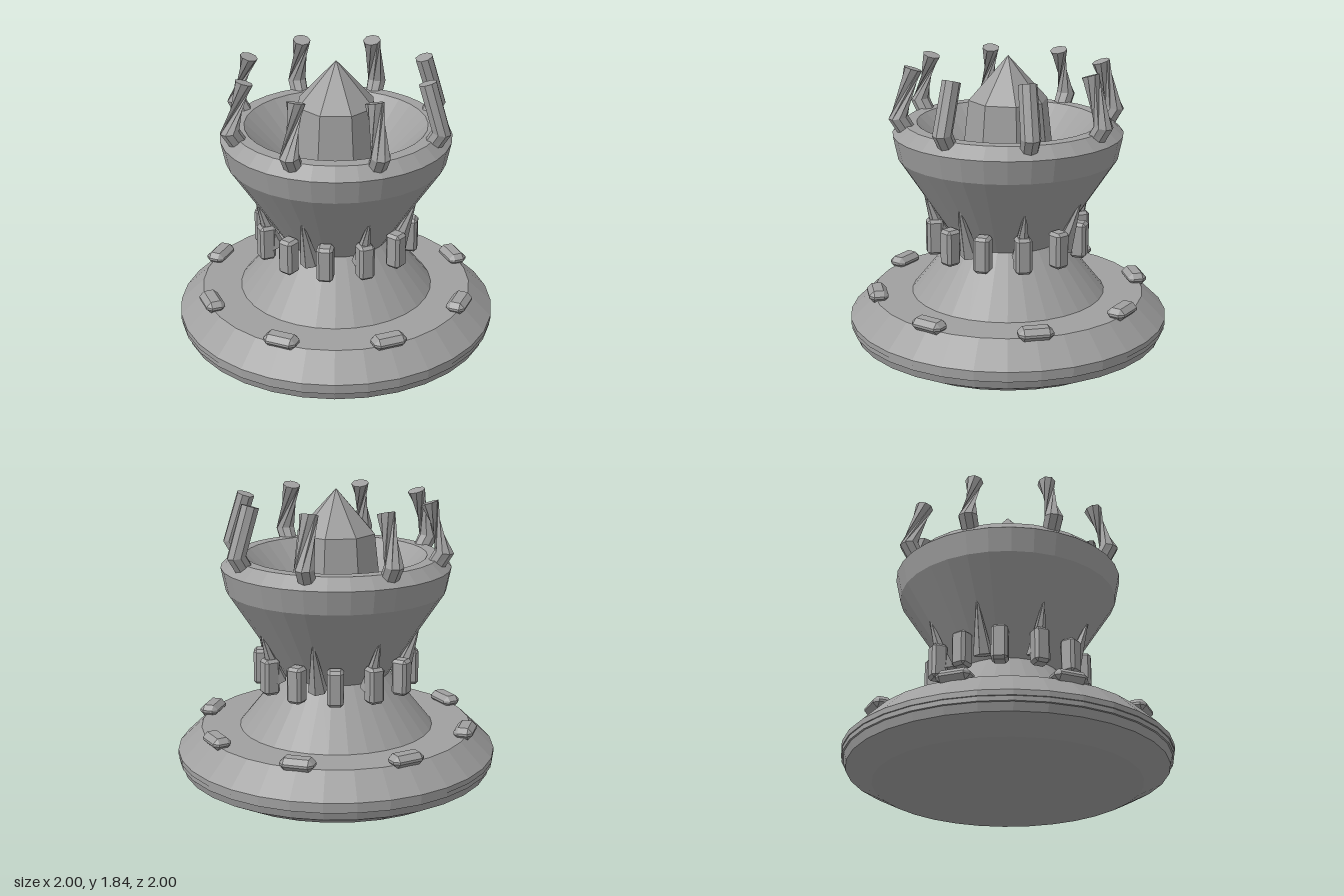
import * as THREE from 'three';
import { ConvexGeometry } from 'three/addons/geometries/ConvexGeometry.js';

const stone = new THREE.MeshStandardMaterial({ color: 0xa0a0a0, flatShading: true });
stone.name = 'grey stone';

function addMesh(parent, name, geometry) {
  const mesh = new THREE.Mesh(geometry, stone);
  mesh.name = name;
  parent.add(mesh);
  return mesh;
}

function lathe(points, sides = 32) {
  return new THREE.LatheGeometry(points.map(([r, y]) => new THREE.Vector2(r, y)), sides);
}

// Box with every edge cut at an angle
function chamferedBox(w, h, d, c) {
  const pts = [];
  for (const x of [-1, 1]) for (const y of [-1, 1]) for (const z of [-1, 1]) {
    const a = w / 2, b = h / 2, e = d / 2;
    pts.push(
      new THREE.Vector3(x * a, y * (b - c), z * (e - c)),
      new THREE.Vector3(x * (a - c), y * b, z * (e - c)),
      new THREE.Vector3(x * (a - c), y * (b - c), z * e));
  }
  return new ConvexGeometry(pts);
}

// Closed loft through rings { z, y, tilt, radius, twist } lying in the radial plane (z is outward)
function loft(rings, sides) {
  const pos = [], index = [];
  const last = rings.length - 1;
  for (const { z, y, tilt, radius, twist } of rings) {
    for (let i = 0; i < sides; i++) {
      const a = (i / sides) * Math.PI * 2 + twist;
      const u = Math.cos(a) * radius, v = Math.sin(a) * radius;
      pos.push(v, y - u * Math.sin(tilt), z + u * Math.cos(tilt));
    }
  }
  for (let k = 0; k < last; k++) for (let i = 0; i < sides; i++) {
    const j = (i + 1) % sides;
    const a = k * sides + i, b = k * sides + j, c = a + sides, d = b + sides;
    index.push(a, b, d, a, d, c);
  }
  for (let i = 1; i < sides - 1; i++) {
    const t = last * sides;
    index.push(0, i + 1, i, t, t + i, t + i + 1);
  }
  const g = new THREE.BufferGeometry();
  g.setAttribute('position', new THREE.Float32BufferAttribute(pos, 3));
  g.setIndex(index);
  g.computeVertexNormals();
  return g;
}

// Repeats a part around the vertical axis; make(i) returns its geometry facing +z
function ring(parent, name, count, make) {
  const group = new THREE.Group();
  group.name = name + 'Ring';
  for (let i = 0; i < count; i++) {
    addMesh(group, name, make(i)).rotation.y = (i / count) * Math.PI * 2;
  }
  parent.add(group);
}

export function createModel() {
  const model = new THREE.Group();
  model.name = 'brazier';

  // Stepped foot and conical stem
  addMesh(model, 'base', lathe([
    [0, 0], [0.81, 0], [0.97, 0.085], [0.985, 0.135], [0.995, 0.137], [0.995, 0.165],
    [1, 0.167], [1, 0.2], [0.85, 0.345], [0.607, 0.345], [0.33, 0.69], [0, 0.69]]));

  // Hollow bowl with a bevelled rim
  addMesh(model, 'bowl', lathe([
    [0, 0.68], [0.33, 0.685], [0.68, 1.22], [0.71, 1.365], [0.635, 1.435],
    [0.56, 1.435], [0.3, 1.18], [0, 1.18]]));

  // Eight-sided crystal with a pointed top
  addMesh(model, 'crystal', lathe([[0, 1.17], [0.29, 1.17], [0.245, 1.57], [0, 1.84]], 8));

  // Raised studs on the foot
  ring(model, 'stud', 8, () => chamferedBox(0.21, 0.075, 0.12, 0.03).translate(0, 0.367, 0.83));

  // Upright blocks around the neck
  ring(model, 'pillar', 12, () => chamferedBox(0.1, 0.225, 0.1, 0.018).translate(0, 0.718, 0.465));

  // Slender spikes leaning against the bowl
  ring(model, 'spike', 8, () => loft([
    { z: 0.41, y: 0.68, tilt: 0.3, radius: 0.06, twist: 0 },
    { z: 0.53, y: 1.02, tilt: 0.3, radius: 0.004, twist: 0.8 }], 6));

  // Bent prongs on the rim, each twisted by its own amount, starting at the front
  const twists = [70, 0, 0, 60, 75, 115, 100, 105];
  ring(model, 'prong', 8, (i) => loft([
    { z: 0.62, y: 1.395, tilt: 0.6, radius: 0.055, twist: 0 },
    { z: 0.675, y: 1.485, tilt: 0.15, radius: 0.06, twist: 0 },
    { z: 0.58, y: 1.78, tilt: -0.3, radius: 0.056, twist: THREE.MathUtils.degToRad(twists[i]) }], 8));

  return model;
}
